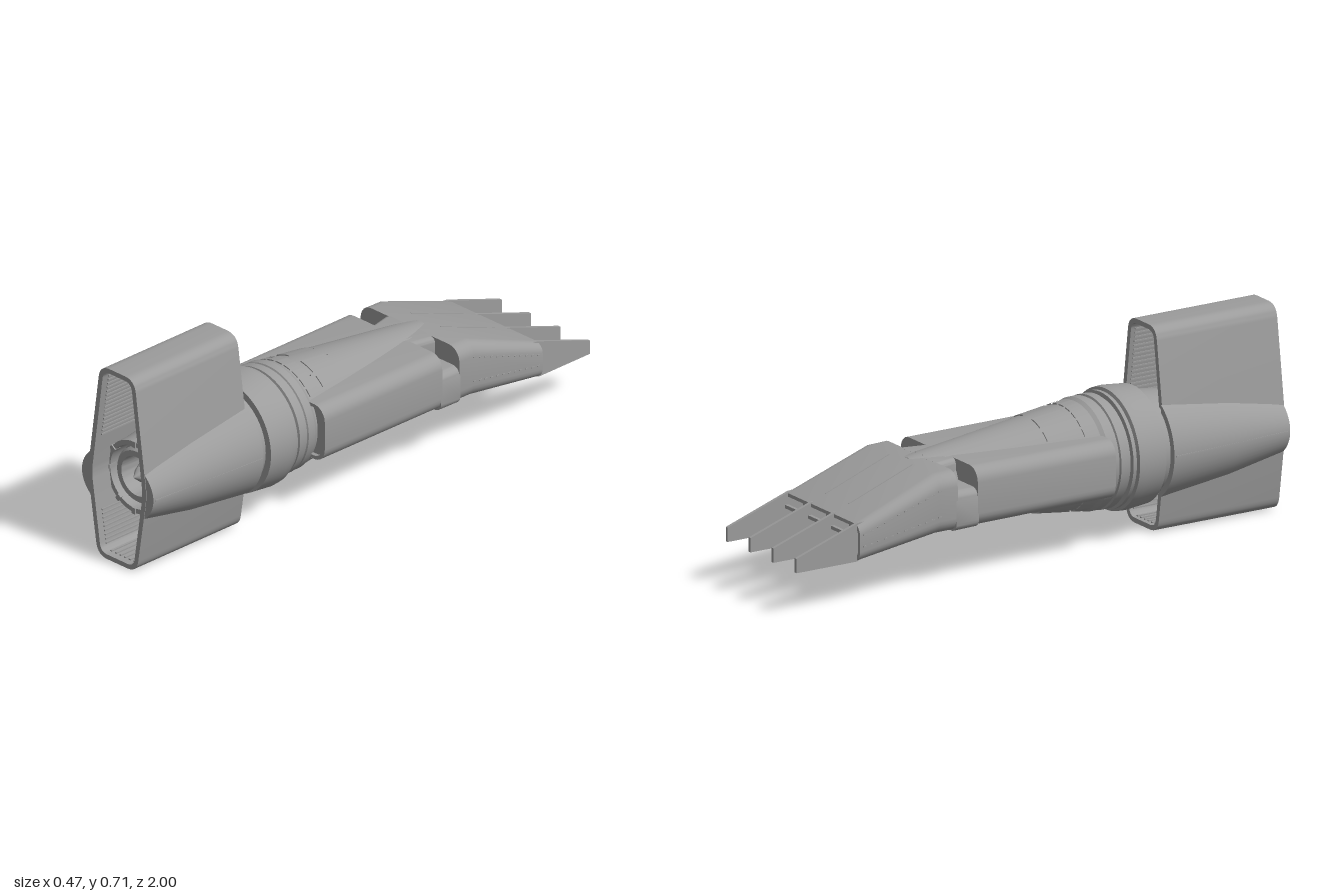
import * as THREE from 'three';
import { toCreasedNormals } from 'three/addons/utils/BufferGeometryUtils.js';

const CY = 0.295; // height of the engine axis

export function createModel() {
  const group = new THREE.Group();
  const grey = new THREE.MeshStandardMaterial({ color: 0x9c9c9c });
  grey.name = 'hull grey';

  const add = (name, geometry, x = 0, y = 0, z = 0, parent = group) => {
    const mesh = new THREE.Mesh(geometry, grey);
    mesh.name = name;
    mesh.position.set(x, y, z);
    parent.add(mesh);
    return mesh;
  };
  const box = (name, w, h, d, x, y, z, parent) => add(name, new THREE.BoxGeometry(w, h, d), x, y, z, parent);
  const subgroup = (name) => {
    const g = new THREE.Group();
    g.name = name;
    group.add(g);
    return g;
  };

  // Closed loops, counter-clockwise seen from +z, joined in order with capped ends
  const loft = (loops) => {
    const n = loops[0].length, pos = loops.flat(2), idx = [];
    for (let i = 0; i < loops.length - 1; i++) {
      for (let j = 0; j < n; j++) {
        const a = i * n + j, b = i * n + (j + 1) % n, c = a + n, d = b + n;
        idx.push(a, c, b, b, c, d);
      }
    }
    [0, loops.length - 1].forEach((i) => {
      const mid = pos.length / 3;
      for (let k = 0; k < 3; k++) pos.push(loops[i].reduce((s, p) => s + p[k], 0) / n);
      for (let j = 0; j < n; j++) {
        const a = i * n + j, b = i * n + (j + 1) % n;
        idx.push(mid, ...(i === 0 ? [a, b] : [b, a]));
      }
    });
    const g = new THREE.BufferGeometry();
    g.setAttribute('position', new THREE.Float32BufferAttribute(pos, 3));
    g.setIndex(idx);
    return toCreasedNormals(g, 0.5);
  };
  // Rounded rectangle cross-section
  const section = (hw, y0, y1, r, z) => {
    const pts = [];
    const centres = [[hw - r, y1 - r], [r - hw, y1 - r], [r - hw, y0 + r], [hw - r, y0 + r]];
    centres.forEach(([cx, cy], q) => {
      for (let k = 0; k <= 6; k++) {
        const a = (q + k / 6) * Math.PI / 2;
        pts.push([cx + r * Math.cos(a), cy + r * Math.sin(a), z]);
      }
    });
    return pts;
  };
  // Turned part along z from [radius, z] points
  const turned = (pts, segments = 64, start = 0, length = Math.PI * 2) => {
    const g = new THREE.LatheGeometry(pts.map((p) => new THREE.Vector2(...p)), segments, start, length);
    return toCreasedNormals(g.rotateX(Math.PI / 2), 0.45);
  };
  // Polygon with softened corners
  const softPath = (path, pts, r) => {
    const v = pts.map((p) => new THREE.Vector2(...p));
    v.forEach((p, i) => {
      const prev = v[(i + v.length - 1) % v.length], next = v[(i + 1) % v.length];
      const a = p.clone().add(prev.clone().sub(p).setLength(r));
      const b = p.clone().add(next.clone().sub(p).setLength(r));
      if (i === 0) path.moveTo(a.x, a.y); else path.lineTo(a.x, a.y);
      path.quadraticCurveTo(p.x, p.y, b.x, b.y);
    });
    path.closePath();
    return path;
  };
  const mirrored = (half) => [...half, ...half.map(([x, y]) => [-x, y]).reverse()];

  // Tall hexagonal tail duct, open at both ends
  const inner = [[0.078, 0.017], [0.121, 0.3], [0.066, 0.698]];
  const duct = softPath(new THREE.Shape(), mirrored([[0.093, 0], [0.14, 0.3], [0.082, 0.715]]), 0.046);
  duct.holes.push(softPath(new THREE.Path(), mirrored(inner), 0.03));
  const ductGeo = new THREE.ExtrudeGeometry(duct, { depth: 0.48, bevelEnabled: false, curveSegments: 8 });
  add('tailDuct', toCreasedNormals(ductGeo, 0.5), 0, 0, 0.52);

  // Cooling ribs along the inside of the duct
  const ribs = subgroup('ductRibs');
  const ribRow = ([x0, y0], [x1, y1], t0, t1, n) => {
    for (let i = 0; i < n; i++) {
      const t = t0 + (t1 - t0) * i / (n - 1);
      box('ductRib', 0.008, 0.005, 0.44, x0 + (x1 - x0) * t, y0 + (y1 - y0) * t, 0.755, ribs);
    }
  };
  for (const s of [-1, 1]) {
    const [b, m, t] = inner.map(([x, y]) => [x * s, y]);
    ribRow(m, t, 0.35, 0.93, 16);
    ribRow(m, b, 0.5, 0.92, 9);
  }
  ribRow([-0.045, 0.696], [0.045, 0.696], 0, 1, 6);
  ribRow([-0.055, 0.019], [0.055, 0.019], 0, 1, 6);

  // Side cowls tapering along the duct, each with a seam
  for (const s of [-1, 1]) {
    const arc = (rx, ry, half, z) => Array.from({ length: 17 }, (_, k) => {
      const a = (s < 0 ? Math.PI : 0) + half * (k / 8 - 1);
      return [rx * Math.cos(a), CY + ry * Math.sin(a), z];
    });
    add('sideCowl', loft([arc(0.17, 0.124, 0.72, 0.998), arc(0.187, 0.17, 0.82, 0.78), arc(0.203, 0.2, 0.93, 0.515)]));
    const seam = box('cowlSeam', 0.004, 0.004, 0.47, s * 0.187, CY, 0.757);
    seam.rotation.y = -s * 0.068;
  }

  // Collar rings between hull and tail
  add('collar', turned([
    [0.1, 0.25], [0.186, 0.25], [0.195, 0.265], [0.195, 0.295], [0.19, 0.298], [0.19, 0.305], [0.197, 0.308],
    [0.197, 0.338], [0.188, 0.341], [0.188, 0.35], [0.202, 0.353], [0.202, 0.366], [0.195, 0.368],
    [0.211, 0.373], [0.213, 0.4], [0.205, 0.482], [0.18, 0.482], [0.18, 0.47],
  ]), 0, CY);

  // Engine core with nested nozzle rings and a centre spike
  add('engine', turned([
    [0.18, 0.47], [0.18, 0.52], [0.135, 0.87], [0.132, 0.92], [0.115, 0.92], [0.113, 0.86], [0.1, 0.86],
    [0.1, 0.9], [0.092, 0.91], [0.072, 0.91], [0.068, 0.83], [0.046, 0.83], [0.046, 0.85], [0.025, 0.895], [0, 0.925],
  ]), 0, CY);
  for (let i = 0; i < 8; i++) {
    const a = (i + (i % 2 ? 0.2 : 0)) * Math.PI / 4;
    const clip = box('engineClip', 0.022, 0.016, 0.03, 0.124 * Math.cos(a), CY + 0.124 * Math.sin(a), 0.91);
    clip.rotation.z = a;
  }

  // Tapered central hull
  const hullR = (z) => 0.188 - 0.083 * (0.26 - z) / 0.68;
  add('centralHull', turned([[0, -0.42], [hullR(-0.42), -0.42], [hullR(0.26), 0.26]]), 0, CY);

  // Raised plates and ribs on the hull, above and below
  const plating = subgroup('hullPlating');
  const plate = (name, z0, z1, angle, width, rise = 0.004) => {
    const pts = [[hullR(z0) - 0.003, z0], [hullR(z0) + rise, z0], [hullR(z1) + rise, z1], [hullR(z1) - 0.003, z1]];
    add(name, turned(pts, 4, angle - width / 2, width), 0, CY, 0, plating);
  };
  for (const face of [0, Math.PI]) {
    for (const s of [-1, 1]) {
      plate('accessPanel', 0.06, 0.17, face + s * 0.33, 0.34);
      plate('outerPanel', 0.06, 0.17, face + s * 0.72, 0.24);
      plate('hullRib', -0.37, 0.19, face + s * 0.55, 0.03, 0.005);
      plate('innerRib', -0.37, 0.05, face + s * 0.2, 0.025, 0.003);
    }
    for (let i = -4; i <= 4; i++) plate('collarTile', 0.195, 0.245, face + i * 0.21, 0.16);
  }

  // Broad side hull with a recessed front face
  add('sideHull', loft([
    section(0.222, 0.208, 0.388, 0.038, 0.245), section(0.222, 0.208, 0.388, 0.038, 0.26),
    section(0.235, 0.195, 0.4, 0.05, 0.26), section(0.235, 0.192, 0.4, 0.05, -0.29),
  ]));
  // Lowered step between side hull and nose
  add('notchFloor', loft([section(0.235, 0.192, 0.33, 0.03, -0.285), section(0.235, 0.19, 0.33, 0.03, -0.375)]));
  add('notchBridge', loft([section(0.1, 0.24, 0.4, 0.02, -0.285), section(0.12, 0.24, 0.4, 0.02, -0.375)]));

  // Drooping nose with a hollow end
  add('nose', loft([
    section(0.235, 0.19, 0.4, 0.05, -0.37), section(0.235, 0.19, 0.398, 0.05, -0.44),
    section(0.235, 0.15, 0.28, 0.035, -0.76), section(0.223, 0.162, 0.268, 0.025, -0.76),
    section(0.223, 0.168, 0.285, 0.025, -0.7),
  ]));

  // Four pointed blades, each running back into a seam on the nose
  const blade = new THREE.Shape();
  [[0.66, 0.19], [0.7, 0.288], [0.755, 0.284], [1, 0.2], [1, 0.15], [0.76, 0.15]].forEach(([x, y], i) =>
    (i ? blade.lineTo(x, y) : blade.moveTo(x, y)));
  const bladeGeo = new THREE.ExtrudeGeometry(blade, { depth: 0.012, bevelEnabled: false });
  bladeGeo.rotateY(Math.PI / 2);
  for (const x of [-0.21, -0.07, 0.07, 0.21]) {
    add('noseBlade', bladeGeo, x - 0.006);
    if (Math.abs(x) < 0.1) {
      const seam = box('noseSeam', 0.004, 0.005, 0.27, x, 0.349, -0.57);
      seam.rotation.x = -Math.atan2(0.118, 0.32);
    }
  }
  // Machinery between the blades
  for (const x of [-0.14, 0, 0.14]) {
    box('noseBlock', 0.06, 0.05, 0.06, x, 0.205, -0.725);
    box('noseCrossbar', 0.13, 0.012, 0.012, x, 0.235, -0.765);
    box('nosePipe', 0.016, 0.016, 0.08, x + 0.035, 0.19, -0.735);
  }
  // Lines of small fasteners on the nose flanks
  const rivets = subgroup('noseRivets');
  for (const s of [-1, 1]) {
    for (let i = 0; i < 12; i++) {
      const t = i / 11, z = -0.44 - 0.3 * t;
      box('rivet', 0.004, 0.004, 0.012, s * 0.235, 0.345 - 0.1 * t, z, rivets);
      box('rivet', 0.004, 0.004, 0.012, s * 0.235, 0.255 - 0.05 * t, z, rivets);
    }
  }
  return group;
}
